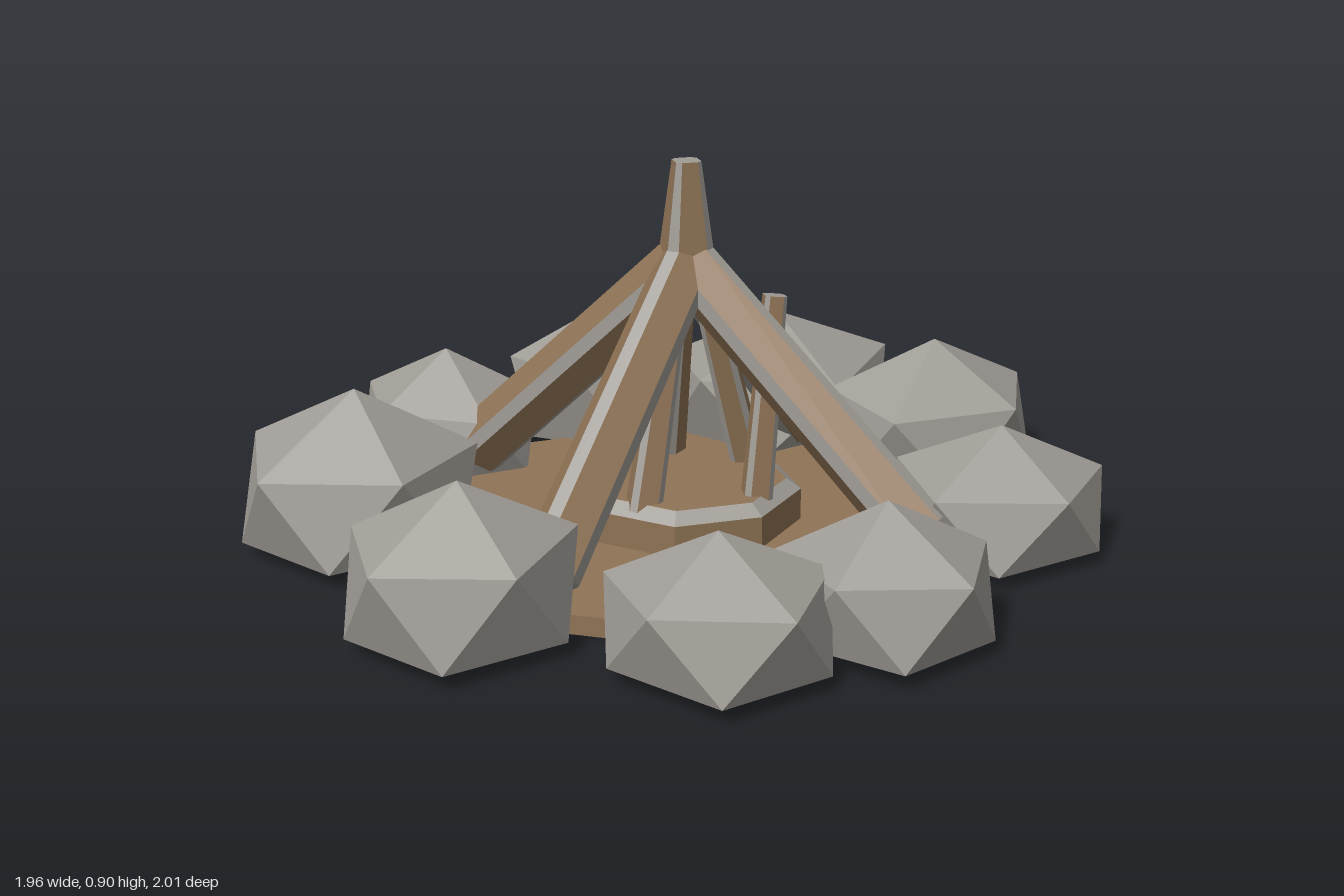
import * as THREE from 'three';
import { ConvexGeometry } from 'three/addons/geometries/ConvexGeometry.js';

const wood = new THREE.MeshStandardMaterial({ color: 0x8f7355 });
wood.name = 'brown wood';
const stone = new THREE.MeshStandardMaterial({ color: 0xa09c96 });
stone.name = 'grey stone';

const rad = THREE.MathUtils.degToRad;
let seed = 7;
const rand = () => (seed = (seed * 16807) % 2147483647) / 2147483647;

function add(parent, name, geometry, material) {
  const mesh = new THREE.Mesh(geometry, material);
  mesh.name = name;
  parent.add(mesh);
  return mesh;
}

function flat(geometry) {
  const g = geometry.toNonIndexed();
  g.computeVertexNormals();
  return g;
}

// Square beam with narrow grey chamfers, running from a (bottom) to b (top)
function beam(parent, name, a, b, rBottom, rTop) {
  const from = new THREE.Vector3(...a), to = new THREE.Vector3(...b);
  const dir = to.clone().sub(from), length = dir.length();
  let g = new THREE.CylinderGeometry(rTop, rBottom, length, 8, 1);
  const p = g.attributes.position;
  for (let i = 0; i < p.count; i++) {
    const r = Math.hypot(p.getX(i), p.getZ(i));
    const k = Math.round(Math.atan2(p.getX(i), p.getZ(i)) / (Math.PI / 4)) + 8;
    const t = rad(k * 45 + (k % 2 ? -9.5 : 9.5) - 22.5);
    p.setX(i, r * Math.sin(t));
    p.setZ(i, r * Math.cos(t));
  }
  g.clearGroups();
  for (let i = 0; i < 8; i++) g.addGroup(i * 6, 6, i % 2 ? 0 : 1);
  g.addGroup(48, 48, 1);
  g = flat(g);
  const mesh = add(parent, name, g, [wood, stone]);
  // Frame with one chamfer pointing straight up
  const y = dir.normalize();
  const out = new THREE.Vector3(-y.x, 0, -y.z);
  if (out.length() < 0.01) out.set(0, 0, 1);
  const x = new THREE.Vector3().crossVectors(y, out).normalize();
  const z = new THREE.Vector3().crossVectors(x, y);
  mesh.quaternion.setFromRotationMatrix(new THREE.Matrix4().makeBasis(x, y, z));
  mesh.position.copy(from).add(to).multiplyScalar(0.5);
  return mesh;
}

// Squashed boulder: apex, two staggered rings of five, flat foot
function boulder(parent, [x, z, rx, rz, h, phase]) {
  const pts = [new THREE.Vector3(0, h, 0), new THREE.Vector3(0, 0, 0)];
  for (let i = 0; i < 5; i++) {
    const up = rad(phase + i * 72), low = up + rad(36);
    const y = h * 0.62 + (rand() - 0.5) * 0.03;
    pts.push(new THREE.Vector3(Math.cos(up) * rx, y, Math.sin(up) * rz));
    pts.push(new THREE.Vector3(Math.cos(low) * rx * 0.97, 0.035, Math.sin(low) * rz * 0.97));
    pts.push(new THREE.Vector3(Math.cos(low) * rx * 0.6, 0.005, Math.sin(low) * rz * 0.6));
  }
  add(parent, 'boulder', new ConvexGeometry(pts), stone).position.set(x, 0, z);
}

export function createModel() {
  const model = new THREE.Group();
  model.name = 'campfire';

  // Ten-sided earth base
  const base = flat(new THREE.CylinderGeometry(0.65, 0.65, 0.045, 10).rotateY(Math.PI / 2));
  add(model, 'base', base, wood).position.y = 0.0225;

  // Low stump in the middle with a grey bevel
  const stump = new THREE.Group();
  stump.name = 'stump';
  model.add(stump);
  add(stump, 'stumpBody', flat(new THREE.CylinderGeometry(0.27, 0.27, 0.08, 8)), wood).position.y = 0.08;
  add(stump, 'stumpBevel', flat(new THREE.CylinderGeometry(0.235, 0.27, 0.025, 8, 1, true)), stone).position.y = 0.1325;
  add(stump, 'stumpTop', flat(new THREE.CircleGeometry(0.235, 8).rotateX(-Math.PI / 2).rotateY(Math.PI / 2)), wood).position.y = 0.145;

  // Four leaning logs meeting below a narrow tip
  const logs = new THREE.Group();
  logs.name = 'logs';
  model.add(logs);
  for (let i = 0; i < 4; i++) {
    const t = rad(-21 + i * 90);
    beam(logs, 'leaningLog', [Math.cos(t) * 0.6, 0.11, Math.sin(t) * 0.6], [0, 0.665, 0], 0.075, 0.07);
  }
  beam(logs, 'tip', [0, 0.62, 0], [0, 0.9, 0], 0.075, 0.035).rotation.y += rad(22);

  // Inner sticks
  const sticks = new THREE.Group();
  sticks.name = 'sticks';
  model.add(sticks);
  beam(sticks, 'stick', [0.19, 0.1, -0.05], [0.17, 0.6, -0.12], 0.04, 0.03);
  for (const deg of [70, 140, 205, 270]) {
    const c = Math.cos(rad(deg)), s = Math.sin(rad(deg));
    beam(sticks, 'stick', [c * 0.2, 0.1, s * 0.2], [c * 0.06, 0.58, s * 0.06], 0.045, 0.035);
  }

  // Ring of boulders: x, z, half width, half depth, height, turn
  const ring = new THREE.Group();
  ring.name = 'boulders';
  model.add(ring);
  [
    [-0.40, -0.64, 0.28, 0.32, 0.34, 6],
    [0.09, -0.73, 0.24, 0.28, 0.36, -10],
    [0.55, -0.48, 0.24, 0.26, 0.31, 8],
    [0.74, 0.07, 0.245, 0.23, 0.32, 0],
    [0.625, 0.43, 0.26, 0.235, 0.31, 5],
    [0.17, 0.75, 0.25, 0.255, 0.36, 6],
    [-0.42, 0.64, 0.265, 0.285, 0.385, 8],
    [-0.73, 0.19, 0.255, 0.215, 0.32, 12],
    [-0.69, -0.28, 0.275, 0.235, 0.36, -15],
  ].forEach((b) => boulder(ring, b));

  return model;
}
